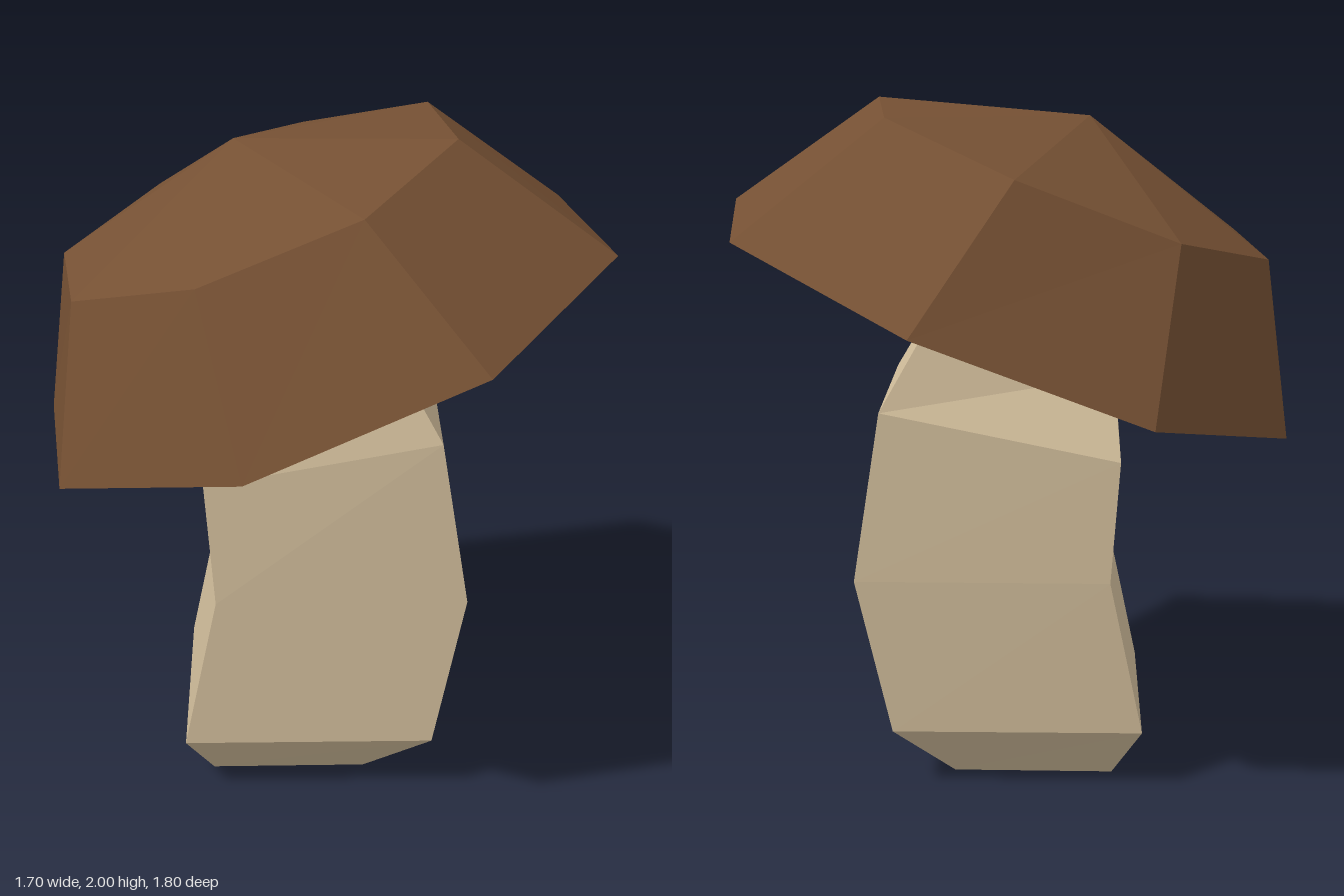
import * as THREE from 'three';

// Faceted skin through a list of rings (each ring counter-clockwise from above, lowest first)
function loft(rings) {
  const pos = [];
  for (let k = 0; k < rings.length - 1; k++) {
    const a = rings[k], b = rings[k + 1], n = a.length;
    for (let i = 0; i < n; i++) {
      const j = (i + 1) % n;
      pos.push(...a[i], ...a[j], ...b[j], ...a[i], ...b[j], ...b[i]);
    }
  }
  return facets(pos);
}

// Triangles from a ring to one point; flip makes them face down
function fan(ring, tip, flip = false) {
  const pos = [];
  ring.forEach((p, i) => {
    const q = ring[(i + 1) % ring.length];
    pos.push(...(flip ? q : p), ...(flip ? p : q), ...tip);
  });
  return facets(pos);
}

function facets(pos) {
  const g = new THREE.BufferGeometry();
  g.setAttribute('position', new THREE.Float32BufferAttribute(pos, 3));
  g.computeVertexNormals();
  return g;
}

export function createModel() {
  const model = new THREE.Group();
  const brown = new THREE.MeshStandardMaterial({ name: 'capBrown', color: 0x755033 });
  const cream = new THREE.MeshStandardMaterial({ name: 'stemCream', color: 0xd0bc9a, side: THREE.DoubleSide });

  const add = (name, geometry, material, parent) => {
    const mesh = new THREE.Mesh(geometry, material);
    mesh.name = name;
    parent.add(mesh);
  };

  // Stem: four-sided, bent, open at the bottom, ending on the underside of the cap
  const stemRings = [
    [[-0.20, 0, 0.35], [0.21, 0, 0.13], [0.01, 0, -0.28], [-0.41, 0, -0.06]],
    [[-0.20, 0.175, 0.52], [0.46, 0.175, 0.17], [0.10, 0.175, -0.49], [-0.55, 0.175, -0.14]],
    [[-0.12, 0.64, 0.46], [0.54, 0.64, 0.11], [0.19, 0.64, -0.55], [-0.47, 0.64, -0.20]],
    [[-0.16, 1.01, 0.45], [0.46, 1.14, 0.13], [0.13, 1.14, -0.50], [-0.49, 1.00, -0.18]],
    [[-0.17, 1.23, 0.39], [0.27, 1.43, 0.13], [0.03, 1.43, -0.33], [-0.41, 1.23, -0.07]],
  ];
  add('stem', loft(stemRings), cream, model);

  // Cap: tilted eight-sided dome
  const rim = [
    [0.22, 1.27, 0.90], [0.76, 1.53, 0.51], [0.85, 1.68, -0.18], [0.44, 1.645, -0.77],
    [-0.22, 1.45, -0.90], [-0.76, 1.19, -0.52], [-0.85, 1.04, 0.18], [-0.45, 1.07, 0.76],
  ];
  const shoulder = [
    [-0.02, 1.72, 0.71], [0.35, 1.89, 0.44], [0.41, 2.00, -0.04], [0.13, 1.98, -0.45],
    [-0.34, 1.84, -0.54], [-0.71, 1.66, -0.27], [-0.77, 1.56, 0.20], [-0.48, 1.58, 0.61],
  ];
  const cap = new THREE.Group();
  cap.name = 'cap';
  add('capSide', loft([rim, shoulder]), brown, cap);
  add('capTop', fan(shoulder, [-0.23, 1.96, 0.11]), brown, cap);
  add('capUnderside', fan(rim, [0, 1.36, 0], true), cream, cap);
  model.add(cap);

  return model;
}
